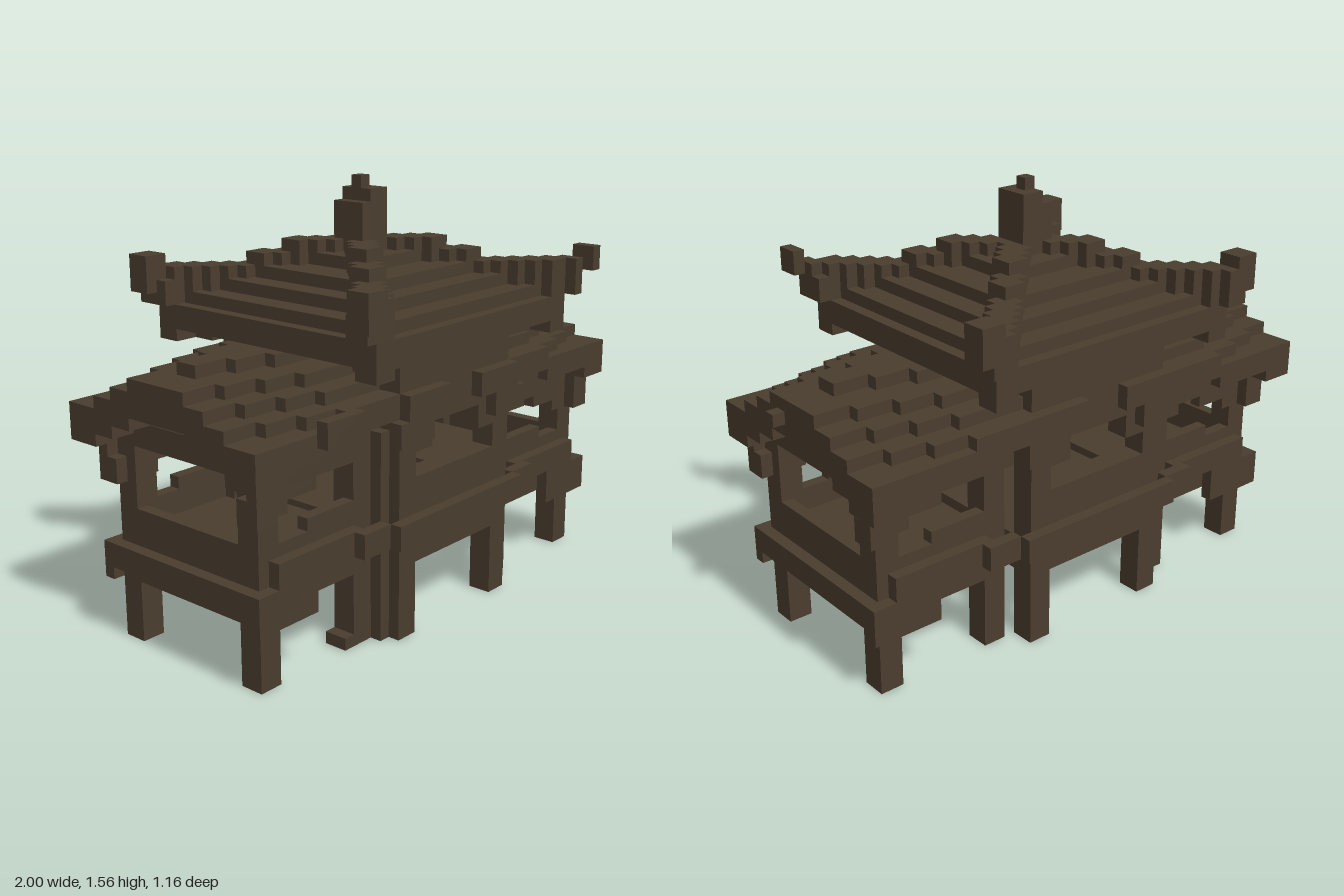
import * as THREE from 'three';

const U = 1 / 22.5; // one block
const wood = new THREE.MeshStandardMaterial({ color: 0x4a3d2e });
wood.name = 'darkWood';

export function createModel() {
  const root = new THREE.Group();
  root.name = 'pavilion';

  // Block given by its limits in block units
  const box = (name, x0, x1, y0, y1, z0, z1) => {
    const g = new THREE.BoxGeometry((x1 - x0) * U, (y1 - y0) * U, (z1 - z0) * U);
    const m = new THREE.Mesh(g, wood);
    m.name = name;
    m.position.set(((x0 + x1) / 2 - 22.5) * U, ((y0 + y1) / 2) * U, ((z0 + z1) / 2 - 13) * U);
    root.add(m);
  };
  // Mirrored copies: left/right about x = 22, front/back about z = 12.5
  const pairX = (n, x0, x1, y0, y1, z0, z1) => {
    box(n, x0, x1, y0, y1, z0, z1);
    box(n, 44 - x1, 44 - x0, y0, y1, z0, z1);
  };
  const pairZ = (n, x0, x1, y0, y1, z0, z1) => {
    box(n, x0, x1, y0, y1, z0, z1);
    box(n, x0, x1, y0, y1, 25 - z1, 25 - z0);
  };
  const four = (n, x0, x1, y0, y1, z0, z1) => {
    pairX(n, x0, x1, y0, y1, z0, z1);
    pairX(n, x0, x1, y0, y1, 25 - z1, 25 - z0);
  };

  // Posts
  four('mainPost', 15, 17, 0, 24, 20, 22);
  four('innerWingPost', 12, 14, 0, 17, 18, 20);
  four('outerWingPost', 2, 4, 0, 17, 18, 20);
  box('postFiller', 14, 15, 0, 17, 19, 21);
  box('foot', 11, 12, 0, 1, 18, 20);

  // Central hall: floor, rails, lintels, brackets
  box('hallFloor', 15, 29, 8, 9, 5, 20);
  pairX('hallSideBeam', 15, 17, 6, 9, 5, 20);
  pairZ('hallRail', 17, 27, 6, 13, 20, 22);
  pairZ('hallRailTrim', 14, 30, 8, 10, 22, 23);
  pairZ('hallLintel', 17, 27, 17, 23, 20, 22);
  four('hallBracket', 17, 19, 15, 17, 20, 22);
  four('hallBracketTrim', 14, 18, 16, 18, 22, 23);
  four('hallLintelTrim', 15, 20, 18, 20, 22, 23);
  pairX('hallSideWall', 15, 17, 16, 24, 5, 20);
  pairZ('hallTopBeam', 12, 32, 22, 24, 20, 22);
  pairX('hallSideTopBeam', 13, 15, 22, 24, 4, 21);

  // Side wings: floor, rails, beams, brackets
  pairX('wingFloor', 4, 14, 8, 9, 6, 19);
  four('wingRail', 2, 14, 6, 11, 19, 20);
  four('wingRailTop', 7, 14, 11, 12, 19, 20);
  four('wingRailSkirt', 1, 7, 5, 8, 20, 21);
  four('wingRailTrim', 3, 12, 8, 10, 20, 21);
  four('wingRailEnd', 11, 14, 8, 10, 21, 22);
  pairX('wingEndRail', 2, 3, 5, 11, 5, 20);
  pairX('wingEndTrim', 1, 2, 6, 8, 4, 21);
  four('wingLintel', 2, 15, 15, 18, 18, 20);
  four('wingCornerBracket', 4, 5, 13, 15, 19, 20);
  four('wingArchBracket', 5, 8, 14, 15, 19, 20);
  four('wingOuterBracket', 1, 2, 13, 15, 19, 20);
  four('wingEaveBracket', 1, 3, 13, 16, 20, 21);
  pairX('wingEndLintel', 2, 4, 16, 18, 5, 20);
  pairX('wingInnerBeam', 12, 14, 16, 18, 5, 20);

  // Wing roofs: stepped shells that widen toward the hall, eaves thinning inward
  const segs = [0, 3, 6, 9, 15];
  for (let s = 0; s < 4; s++) {
    const half = [10, 7 + s, 5 + s, 3 + s, s];
    for (let l = 0; l < 5; l++) {
      const inner = l < 4 ? half[l + 1] : 0;
      const outer = half[l];
      if (outer <= inner) continue;
      const top = 19 + l;
      const bottom = top - (s ? 2 : 3);
      for (const side of [-1, 1]) {
        const a = 12 + side * inner, b = 12 + side * outer;
        pairX('wingRoofStep', segs[s], segs[s + 1], bottom, top, Math.min(a, b), Math.max(a, b));
      }
    }
  }
  box('eaveBlock', 6, 10, 18, 20, 22, 23);
  box('ridgeEnd', 44, 45, 20, 21, 13, 14);

  // Main roof: square rings rising to the middle [outer, inner, bottom, top]
  const rings = [[12, 11, 23, 25], [11, 9, 24, 26], [9, 7, 25, 27], [7, 4, 26, 28], [4, 0, 27, 29]];
  for (const [o, i, y0, y1] of rings) {
    pairZ('roofSlope', 22 - o, 22 + o, y0, y1, i ? 12 + i : 12.5, 12 + o);
    if (i) pairX('roofSlope', 22 - o, 22 - i, y0, y1, 13 - i, 12 + i);
  }

  // Hip ridges running out along the diagonals
  for (let d = 1; d < 12; d++) {
    const top = d < 5 ? 30 : d < 7 ? 29 : 28;
    four('hipRidge', 21 - d, 23 - d, top - 3, top, 11 + d, 13 + d);
  }

  // Upturned corners and the brackets below them
  four('cornerBracket', 10, 12, 22, 25, 22, 24);
  four('cornerStep', 9, 11, 25, 27, 22, 24);
  box('cornerHorn', 8, 10, 26, 29, 23, 25);
  pairX('cornerHorn', 8, 10, 26, 29, 0, 2);
  pairX('cornerHornInner', 9, 11, 25, 28, 0, 2);
  box('cornerHorn', 34, 35, 25, 28, 23, 25);
  box('cornerHornTip', 35, 36, 27, 29, 24, 26);

  // Finial
  box('finial', 21, 23, 29, 34, 11, 14);
  box('finialSide', 20, 21, 29, 33, 11, 14);
  box('finialTip', 21, 22, 34, 35, 12, 13);

  return root;
}
